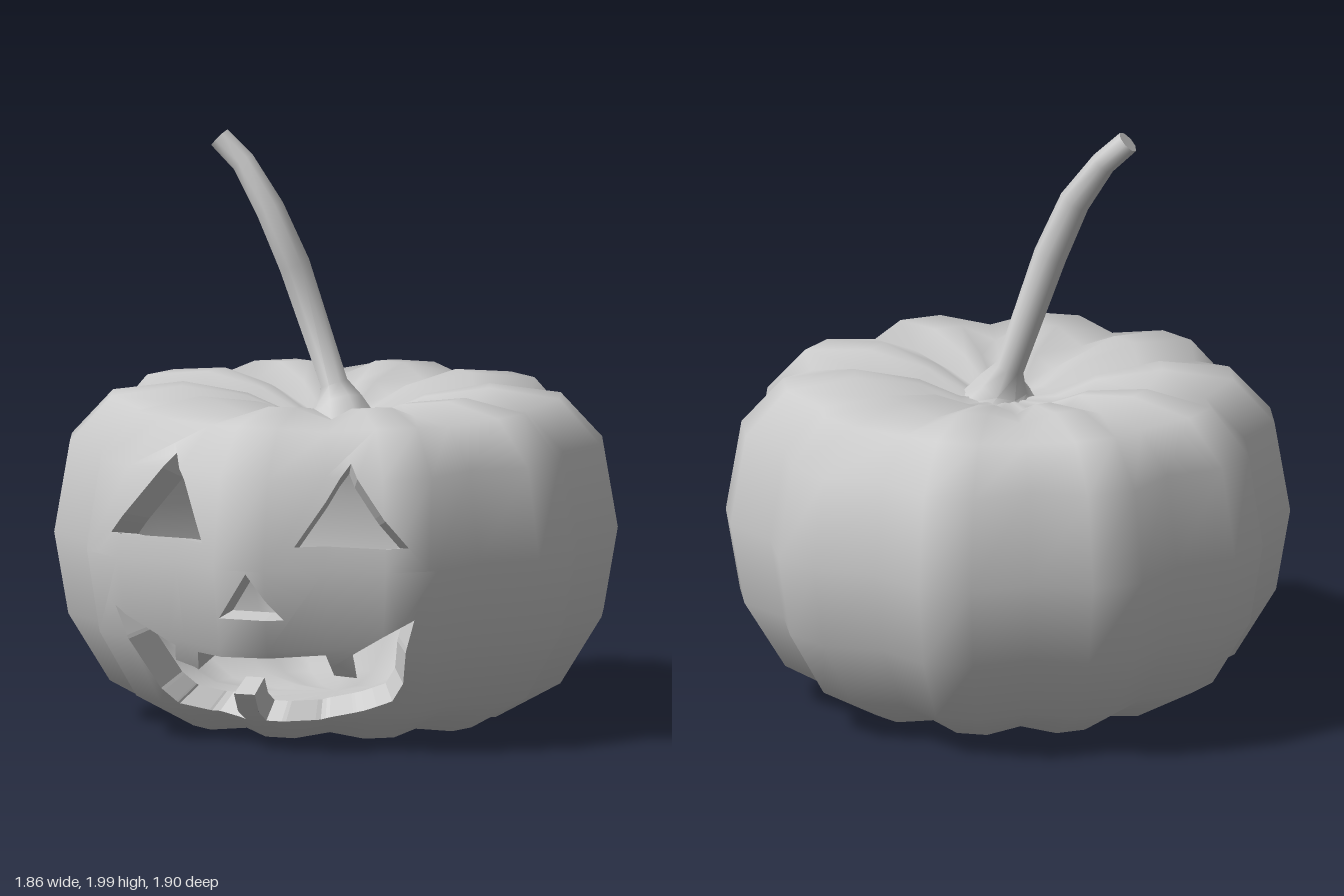
import * as THREE from 'three';
import { toCreasedNormals } from 'three/addons/utils/BufferGeometryUtils.js';

const LOBES = 10;
const WALL = 0.88; // inner shell is the outer one scaled about this centre
const CENTRE_Y = 0.58;

// Body rows from bottom to top: ridge radius, ridge height, groove radius factor, groove height change
const ROWS = [
  [0, 0.03, 1, 0], [0.3, 0.005, 0.95, 0.012], [0.545, 0.02, 0.9, 0.015], [0.765, 0.14, 0.9, 0],
  [0.905, 0.37, 0.91, 0], [0.953, 0.65, 0.916, 0], [0.9, 0.96, 0.91, 0], [0.76, 1.112, 0.9, -0.02],
  [0.52, 1.145, 0.92, -0.045], [0.3, 1.11, 0.95, -0.04], [0.16, 1.05, 1, -0.01], [0, 1.04, 1, 0],
];

// Face openings as seen from the front, counter-clockwise
const HOLES = {
  rightEye: [[-0.52, 0.73], [-0.15, 0.73], [-0.3, 1.005]],
  leftEye: [[0.175, 0.73], [0.545, 0.73], [0.33, 1.005]],
  nose: [[-0.08, 0.48], [0.14, 0.48], [0.025, 0.64]],
  mouth: [
    [-0.51, 0.48], [-0.44, 0.33], [-0.375, 0.19], [-0.32, 0.135], [-0.22, 0.11], [-0.07, 0.1],
    [-0.07, 0.205], [0.005, 0.205], [0.005, 0.1], [0.17, 0.1], [0.35, 0.15], [0.445, 0.185],
    [0.49, 0.25], [0.555, 0.48], [0.345, 0.355], [0.345, 0.27], [0.265, 0.275], [0.25, 0.35],
    [-0.2, 0.34], [-0.22, 0.27], [-0.3, 0.3], [-0.29, 0.355],
  ],
};

// Ribbed body as triangles; every corner is [x, y, z, nx, ny, nz]
function bodyTriangles() {
  const columns = [];
  for (let k = 0; k < LOBES; k++) {
    for (const offset of [-5.5, 5.5, 18]) {
      columns.push({ angle: THREE.MathUtils.degToRad(36 * k + offset), groove: offset === 18 });
    }
  }
  const n = columns.length, position = [], index = [];
  ROWS.forEach(([r, y, factor, dy], i) => columns.forEach(({ angle, groove }, j) => {
    const radius = groove ? r * factor : r;
    position.push(radius * Math.sin(angle), groove ? y + dy : y, radius * Math.cos(angle));
    if (i === ROWS.length - 1) return;
    const a = i * n + j, b = i * n + (j + 1) % n;
    if (i > 0) index.push(a, b, b + n);
    if (i === 0 || i < ROWS.length - 2) index.push(a, b + n, a + n);
  }));
  const g = new THREE.BufferGeometry();
  g.setAttribute('position', new THREE.Float32BufferAttribute(position, 3));
  g.setIndex(index);
  g.computeVertexNormals();
  const p = g.attributes.position, m = g.attributes.normal;
  for (let j = 0; j < n; j++) {
    m.setXYZ(j, 0, -1, 0);
    m.setXYZ(p.count - 1 - j, 0, 1, 0);
  }
  const corner = (i) => [p.getX(i), p.getY(i), p.getZ(i), m.getX(i), m.getY(i), m.getZ(i)];
  const triangles = [];
  for (let i = 0; i < index.length; i += 3) triangles.push(index.slice(i, i + 3).map(corner));
  return triangles;
}

const side = (a, b, p) => (b[0] - a[0]) * (p[1] - a[1]) - (b[1] - a[1]) * (p[0] - a[0]);

// Split a polygon by the line a-b into its left and right parts
function split(poly, a, b) {
  const left = [], right = [];
  poly.forEach((p, i) => {
    const q = poly[(i + 1) % poly.length];
    const sp = side(a, b, p), sq = side(a, b, q);
    if (sp >= 0) left.push(p);
    if (sp <= 0) right.push(p);
    if (sp * sq < 0) {
      const cut = p.map((v, k) => v + (q[k] - v) * sp / (sp - sq));
      left.push(cut);
      right.push(cut);
    }
  });
  return [left, right];
}

// Remove a convex counter-clockwise cutter from a polygon
function subtract(poly, cutter) {
  const kept = [];
  let rest = poly;
  for (let i = 0; i < cutter.length; i++) {
    const [inside, outside] = split(rest, cutter[i], cutter[(i + 1) % cutter.length]);
    if (inside.length < 3) return [poly];
    if (outside.length > 2) kept.push(outside);
    rest = inside;
  }
  return kept;
}

// Cut all openings through the front of the body
function carve(triangles) {
  const cutters = Object.values(HOLES).flatMap((loop) => {
    const pts = loop.map(([x, y]) => new THREE.Vector2(x, y));
    return THREE.ShapeUtils.triangulateShape(pts, []).map((face) => {
      const t = face.map((i) => loop[i]);
      return side(...t) < 0 ? t.reverse() : t;
    });
  });
  return triangles.flatMap((tri) => {
    if (tri.some((c) => c[2] < 0.2)) return [tri];
    return cutters.reduce((polys, c) => polys.flatMap((p) => subtract(p, c)), [tri]);
  });
}

const shrink = ([x, y, z]) => [x * WALL, CENTRE_Y + (y - CENTRE_Y) * WALL, z * WALL];

// Shell surface from polygons; the inner one is shrunk and turned inside out
function shell(polys, inner) {
  const position = [], normal = [];
  for (const poly of polys) {
    for (let i = 1; i < poly.length - 1; i++) {
      const fan = [poly[0], poly[i], poly[i + 1]];
      if (inner) fan.reverse();
      for (const c of fan) {
        position.push(...(inner ? shrink(c) : c.slice(0, 3)));
        normal.push(...c.slice(3).map((v) => (inner ? -v : v)));
      }
    }
  }
  const g = new THREE.BufferGeometry();
  g.setAttribute('position', new THREE.Float32BufferAttribute(position, 3));
  g.setAttribute('normal', new THREE.Float32BufferAttribute(normal, 3));
  g.normalizeNormals();
  return g;
}

// Depth of the body's front at x, y
function frontZ(triangles, p) {
  let z = 0;
  for (const [a, b, c] of triangles) {
    const area = side(a, b, c);
    if (area < 1e-6) continue;
    const u = side(b, c, p) / area, v = side(c, a, p) / area, w = 1 - u - v;
    if (Math.min(u, v, w) > -1e-5) z = Math.max(z, u * a[2] + v * b[2] + w * c[2]);
  }
  return z;
}

// Cut faces joining the outer and inner shells around one opening
function rim(triangles, loop) {
  const STEPS = 12, ring = [], position = [];
  loop.forEach((a, i) => {
    const b = loop[(i + 1) % loop.length];
    for (let s = 0; s < STEPS; s++) {
      const p = [a[0] + (b[0] - a[0]) * s / STEPS, a[1] + (b[1] - a[1]) * s / STEPS];
      ring.push([...p, frontZ(triangles, p)]);
    }
  });
  ring.forEach((a, i) => {
    const b = ring[(i + 1) % ring.length], a2 = shrink(a), b2 = shrink(b);
    position.push(...a, ...b, ...b2, ...a, ...b2, ...a2);
  });
  const g = new THREE.BufferGeometry();
  g.setAttribute('position', new THREE.Float32BufferAttribute(position, 3));
  g.computeVertexNormals();
  return g;
}

// Bent stem with a flared foot and flat tip: x, y, z, radius
function stemGeometry() {
  const rings = [
    [0.045, 1.03, 0.045, 0.135], [0.02, 1.085, 0.02, 0.085], [-0.005, 1.15, 0.005, 0.05],
    [-0.14, 1.55, 0.025, 0.057], [-0.22, 1.74, 0.047, 0.053], [-0.325, 1.89, 0.022, 0.043],
    [-0.41, 1.97, 0.024, 0.041], [-0.41, 1.97, 0.024, 0],
  ];
  const SIDES = 8, position = [], index = [];
  const centre = (i) => new THREE.Vector3(...rings[i].slice(0, 3));
  const up = new THREE.Vector3(0, 1, 0);
  rings.forEach((ring, i) => {
    const along = centre(Math.min(i + 1, 6)).sub(centre(Math.min(Math.max(i - 1, 0), 5))).normalize();
    const turn = new THREE.Quaternion().setFromUnitVectors(up, i === 0 ? up : along);
    for (let j = 0; j < SIDES; j++) {
      const a = j / SIDES * Math.PI * 2;
      const p = new THREE.Vector3(Math.sin(a), 0, Math.cos(a)).multiplyScalar(ring[3]);
      position.push(...p.applyQuaternion(turn).add(centre(i)).toArray());
      if (i === rings.length - 1) continue;
      const k = i * SIDES + j, l = i * SIDES + (j + 1) % SIDES;
      index.push(k, l, l + SIDES);
      if (i < rings.length - 2) index.push(k, l + SIDES, k + SIDES);
    }
  });
  const g = new THREE.BufferGeometry();
  g.setAttribute('position', new THREE.Float32BufferAttribute(position, 3));
  g.setIndex(index);
  return toCreasedNormals(g, 1.1);
}

export function createModel() {
  const model = new THREE.Group();
  model.name = 'carvedPumpkin';
  const material = new THREE.MeshStandardMaterial({ color: 0xcccccc });
  const add = (name, geometry) => {
    const mesh = new THREE.Mesh(geometry, material);
    mesh.name = name;
    model.add(mesh);
  };
  const triangles = bodyTriangles();
  const carved = carve(triangles);
  add('outerShell', shell(carved, false));
  add('innerShell', shell(carved, true));
  for (const [name, loop] of Object.entries(HOLES)) add(name + 'Rim', rim(triangles, loop));
  add('stem', stemGeometry());
  return model;
}
